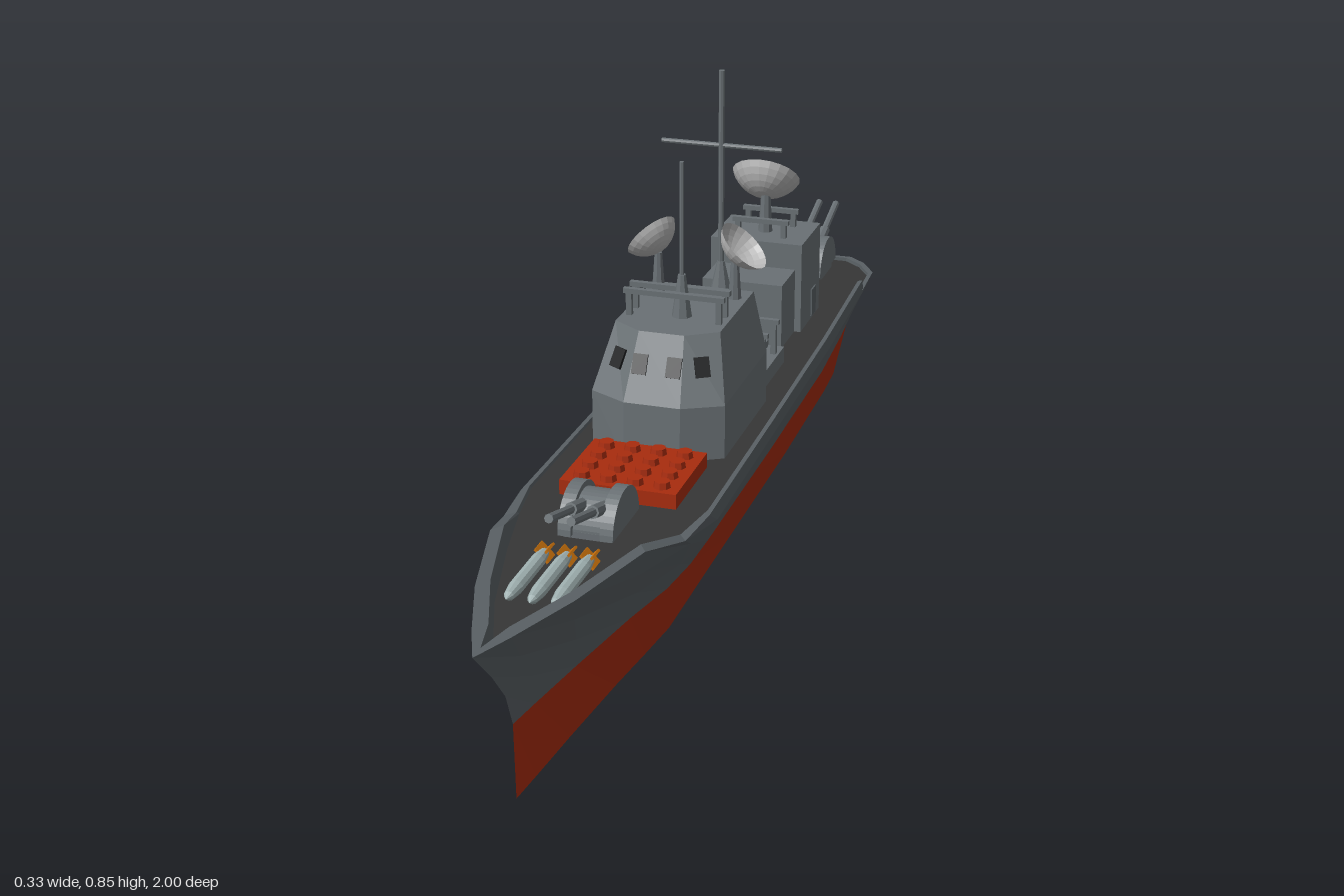
import * as THREE from 'three';

const mat = (color, side = THREE.FrontSide) =>
  new THREE.MeshStandardMaterial({ color, flatShading: true, side });
const GREY = mat(0x697074), HULL = mat(0x596064), RED = mat(0xa82c0e), DECK = mat(0x363636),
  DARK = mat(0x1c1e1f), DISH = mat(0xb4b4b4, THREE.DoubleSide), SHELL = mat(0x9fb0b0), ORANGE = mat(0xc8700c);
const V = (x, y, z) => new THREE.Vector3(x, y, z);

export function createModel() {
  const ship = new THREE.Group();
  ship.name = 'warship';

  const add = (name, geo, material, x = 0, y = 0, z = 0, parent = ship) => {
    const m = new THREE.Mesh(geo, material);
    m.name = name;
    m.position.set(x, y, z);
    parent.add(m);
    return m;
  };
  const box = (name, w, y0, y1, z0, z1, material = GREY, x = 0) =>
    add(name, new THREE.BoxGeometry(w, y1 - y0, z1 - z0), material, x, (y0 + y1) / 2, (z0 + z1) / 2);
  const rod = (name, a, b, r, material = GREY, parent = ship, r2 = r, sides = 8) => {
    const d = b.clone().sub(a);
    const m = add(name, new THREE.CylinderGeometry(r2, r, d.length(), sides), material, 0, 0, 0, parent);
    m.position.copy(a).addScaledVector(d, 0.5);
    m.quaternion.setFromUnitVectors(V(0, 1, 0), d.normalize());
    return m;
  };

  // Skin over stacked mirrored rings (each runs stern to bow on +x, then back on -x)
  const mirrorRing = half => [...half, ...half.slice().reverse().map(([x, y, z]) => [-x, y, z])];
  const loft = (rings, capBottom, capTop) => {
    const p = [];
    const quad = (a, b, c, d) => p.push(...a, ...b, ...c, ...a, ...c, ...d);
    for (let i = 0; i + 1 < rings.length; i++) {
      const r = rings[i], s = rings[i + 1], n = r.length;
      for (let j = 0; j < n; j++) quad(r[j], s[j], s[(j + 1) % n], r[(j + 1) % n]);
    }
    const cap = (r, up) => {
      const n = r.length;
      for (let j = 0; j < n / 2 - 1; j++) {
        const q = [r[j], r[n - 1 - j], r[n - 2 - j], r[j + 1]];
        quad(...(up ? q : q.reverse()));
      }
    };
    if (capBottom) cap(rings[0], false);
    if (capTop) cap(rings[rings.length - 1], true);
    const g = new THREE.BufferGeometry();
    g.setAttribute('position', new THREE.Float32BufferAttribute(p, 3));
    g.computeVertexNormals();
    return g;
  };

  // Hull: half-widths at each station for five levels
  const stations = [-.93, -.9, -.85, -.74, -.735, -.4, 0, .4, .5, .62, .8, .93, 1];
  const topY = z => z < -.737 ? .257 : THREE.MathUtils.mapLinear(THREE.MathUtils.clamp(z, .5, .62), .5, .62, .28, .315);
  const deckY = z => z < -.737 ? .25 : .274;
  const keelW = [.02, .035, .045, .05, .05, .055, .055, .055, .045, .032, .016, .006, 0];
  const waterW = [.04, .06, .075, .085, .085, .095, .097, .095, .085, .06, .03, .01, 0];
  const midW = [.05, .075, .1, .11, .11, .13, .133, .132, .115, .08, .04, .014, 0];
  const chineW = [.06, .1, .13, .138, .138, .15, .155, .16, .145, .105, .055, .018, 0];
  const deckW = [.07, .105, .135, .14, .14, .151, .157, .161, .152, .126, .078, .03, 0];
  const level = (widths, y, stern, bow, inset = 0) => mirrorRing(stations.map((z, i) => [
    Math.max(0, widths[i] - inset * (z > .45 ? 1.8 : 1)), typeof y === 'function' ? y(z) : y,
    THREE.MathUtils.mapLinear(z, -.93, 1, stern, bow)]));
  const water = level(waterW, .13, -.968, .86);
  const inner = level(deckW, topY, -.922, .97, .008);
  const deck = level(deckW, deckY, -.922, .96, .009);
  add('lowerHull', loft([level(keelW, 0, -.975, .855), water], true, false), RED);
  add('upperHull', loft([water, level(midW, .19, -.958, .885), level(chineW, .25, -.943, .935),
    level(deckW, topY, -.932, 1), inner, deck]), HULL);
  add('deck', loft([deck], false, true), DECK);

  // Bridge with sloping upper half and faceted front
  const bridgeRing = (w, y, corner, front, c) =>
    mirrorRing([[w, y, -.09], [w, y, corner], [c, y, front]]);
  add('bridge', loft([bridgeRing(.118, .27, .17, .208, .05), bridgeRing(.118, .37, .17, .205, .05),
    bridgeRing(.093, .48, .115, .15, .04)], false, true), GREY);
  for (const s of [-1, 1]) {
    for (const [x, z, yaw] of [[.03, .175, 0], [.074, .158, .543]]) {
      const w = add('bridgeWindow', new THREE.BoxGeometry(.026, .035, .006), DARK, s * x, .43, z);
      w.rotation.set(-.46, s * yaw, 0, 'YXZ');
    }
  }

  // Goalpost frames on the roofs and around the mast
  const frame = (name, half, y0, y1, z, posts = [-1, 1]) => {
    box(name + 'Bar', half * 2, y1 - .009, y1, z - .005, z + .005);
    for (const f of posts) box(name + 'Post', .01, y0, y1, z - .005, z + .005, GREY, f * (half - .01));
  };
  frame('roofFrame', .09, .48, .528, .045);
  frame('roofFrame', .09, .48, .528, .08);
  rod('whipBase', V(.008, .48, .06), V(.008, .555, .06), .018, GREY, ship, .007);
  rod('whipAntenna', V(.008, .55, .06), V(.008, .755, .06), .004);

  // Bowl antennas, each opening along dir
  const dish = (name, pos, dir, r) => {
    const theta = 1.15, R = r / Math.sin(theta);
    const g = new THREE.SphereGeometry(R, 20, 6, 0, Math.PI * 2, 0, theta).translate(0, -R * Math.cos(theta), 0);
    const m = add(name, g, DISH, ...pos);
    m.quaternion.setFromUnitVectors(V(0, 1, 0), V(...dir).normalize().negate());
  };
  dish('sideDish', [-.083, .58, -.05], [-.7, .6, -.35], .05);
  dish('sideDish', [.085, .576, -.055], [.68, .73, 0], .051);
  for (const s of [-1, 1]) {
    rod('dishPost', V(s * .07, .48, -.05), V(s * .07, .55, -.05), .012, GREY, ship, .007);
  }

  // Main mast on a low deckhouse
  box('mastDeckhouse', .2, .27, .305, -.278, -.11);
  for (const z of [-.165, -.24]) frame('mastFrame', .1, .3, .372, z, [-1, -.35, .35, 1]);
  for (const x of [-.06, -.02, .02, .06]) for (const z of [-.14, -.262])
    box('deckLocker', .022, .3, .318, z - .01, z + .01, GREY, x);
  rod('mastFoot', V(0, .3, -.2), V(0, .43, -.2), .021);
  rod('mastTaper', V(0, .43, -.2), V(0, .49, -.2), .021, GREY, ship, .007);
  rod('mast', V(0, .48, -.2), V(0, .845, -.2), .0055);
  rod('yard', V(-.111, .708, -.2), V(.111, .708, -.2), .0045);

  // Aft deckhouse with radar
  box('aftHouseFront', .155, .27, .4, -.44, -.34);
  box('aftHouse', .18, .27, .45, -.575, -.435);
  for (const z of [-.468, -.54]) frame('aftRoofFrame', .055, .45, .485, z);
  rod('radarPedestal', V(0, .45, -.5), V(0, .53, -.5), .014, GREY, ship, .009);
  dish('aftDish', [-.005, .555, -.52], [0, .72, -.69], .066);
  for (const x of [-.06, -.02, .02, .06]) box('aftWindow', .022, .405, .425, -.578, -.57, DARK, x);
  box('aftDoor', .03, .28, .335, -.578, -.57, HULL, -.05);
  for (const s of [-1, 1]) box('aftSideDoor', .006, .28, .335, -.54, -.51, HULL, s * .09);

  // Missile hatch block
  box('hatchBlock', .2, .27, .3, .212, .385, RED);
  for (let i = 0; i < 4; i++) for (let j = 0; j < 4; j++)
    add('hatch', new THREE.CylinderGeometry(.013, .015, .012, 8), RED, -.069 + i * .046, .305, .238 + j * .041);

  // Twin gun turrets built from half drums
  const turret = (name, y, z, turn) => {
    const g = new THREE.Group();
    g.name = name;
    g.position.set(0, y, z);
    g.rotation.y = turn;
    ship.add(g);
    for (const [x, w, r] of [[-.035, .022, .065], [0, .05, .055], [.035, .022, .065]])
      add('drum', new THREE.CylinderGeometry(r, r, w, 20, 1, false, 0, Math.PI).rotateZ(Math.PI / 2), GREY, x, 0, 0, g);
    add('turretBase', new THREE.BoxGeometry(.08, .03, .11), GREY, 0, -.01, 0, g);
    for (const s of [-1, 1]) {
      rod('barrel', V(s * .018, .038, .02), V(s * .018, .083, .173), .0075, GREY, g);
      rod('barrelSleeve', V(s * .018, .038, .02), V(s * .018, .055, .078), .011, GREY, g);
    }
  };
  turret('frontTurret', .28, .475, 0);
  turret('rearTurret', .267, -.825, Math.PI);

  // Three torpedoes on the foredeck
  for (const x of [-.037, 0, .037]) {
    const profile = [[0, .62], [.008, .62], [.012, .65], [.012, .74], [.008, .77], [0, .782]];
    const body = new THREE.LatheGeometry(profile.map(p => new THREE.Vector2(...p)), 10).rotateX(Math.PI / 2);
    add('torpedo', body, SHELL, x, .29, 0);
    for (const a of [0, 1]) {
      const fin = add('torpedoFin', new THREE.BoxGeometry(.03, .004, .03), ORANGE, x, .29, .62);
      fin.rotation.z = Math.PI / 4 + a * Math.PI / 2;
    }
  }

  // The hull lies slightly askew to the long axis
  ship.rotation.y = .024;
  ship.position.x = -.004;
  const model = new THREE.Group();
  model.add(ship);
  return model;
}
